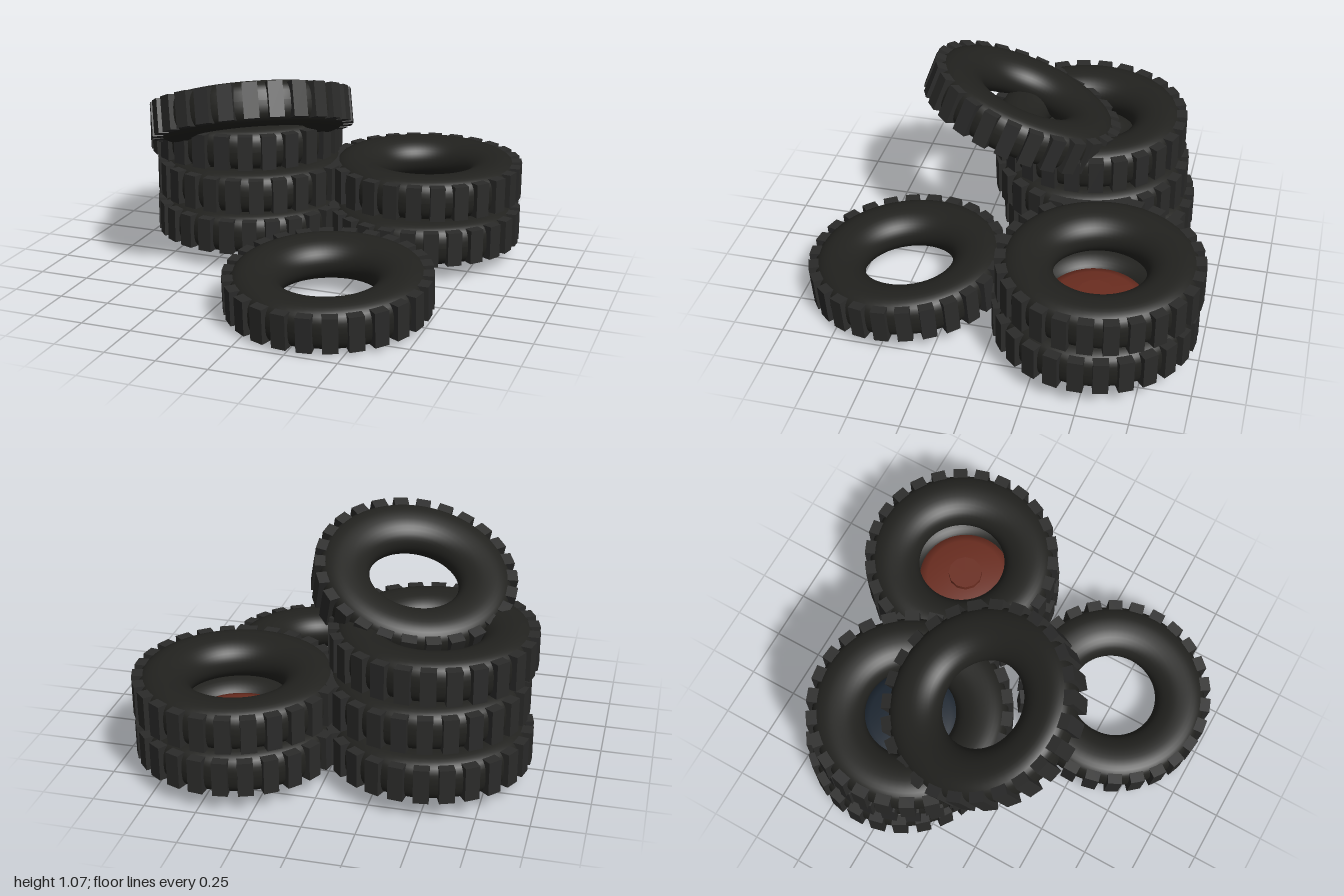
import * as THREE from 'three';

const BLOCKS = 26;
const rubber = new THREE.MeshStandardMaterial({ color: 0x22221f });
const treadRubber = new THREE.MeshStandardMaterial({ color: 0x2b2b2a });
const rust = new THREE.MeshStandardMaterial({ color: 0x6b2d20 });
const blueSteel = new THREE.MeshStandardMaterial({ color: 0x1b2530 });

// Tyre cross-section: upper half from the tread to the inner rim, mirrored below
function makeCarcassGeometry() {
  const upper = [[0.465, 0.055], [0.443, 0.085], [0.4, 0.103], [0.35, 0.105],
    [0.295, 0.095], [0.25, 0.068], [0.227, 0.035]];
  const lower = upper.map(([r, y]) => [r, -y]).reverse();
  const ring = [[0.472, 0], ...upper, [0.22, 0], ...lower];
  const curve = new THREE.CatmullRomCurve3(ring.map(([r, y]) => new THREE.Vector3(r, y, 0)), true);
  const profile = curve.getPoints(40).map((p) => new THREE.Vector2(p.x, p.y));
  return new THREE.LatheGeometry(profile, 64);
}

const carcassGeometry = makeCarcassGeometry();
const blockGeometry = new THREE.BoxGeometry(0.09, 0.17, 0.072);

function makeTyre(name, x, y, z, yaw = 0) {
  const tyre = new THREE.Group();
  tyre.name = name;
  tyre.position.set(x, y, z);

  const carcass = new THREE.Mesh(carcassGeometry, rubber);
  carcass.name = 'tyreBody';
  tyre.add(carcass);

  // Raised tread blocks around the rim
  const tread = new THREE.Group();
  tread.name = 'tread';
  for (let i = 0; i < BLOCKS; i++) {
    const a = yaw + (i / BLOCKS) * Math.PI * 2;
    const block = new THREE.Mesh(blockGeometry, treadRubber);
    block.name = 'treadBlock';
    block.position.set(Math.cos(a) * 0.449, 0, -Math.sin(a) * 0.449);
    block.rotation.y = a;
    tread.add(block);
  }
  tyre.add(tread);
  return tyre;
}

// Domed wheel disc with a knob through the middle
function addHub(tyre, material, knobHalf) {
  const hub = new THREE.Group();
  hub.name = 'hub';
  const profile = [[0, -0.085], [0.1, -0.081], [0.2, -0.069], [0.27, -0.05],
    [0.27, 0.05], [0.2, 0.069], [0.1, 0.081], [0, 0.085]];
  const disc = new THREE.Mesh(
    new THREE.LatheGeometry(profile.map(([r, y]) => new THREE.Vector2(r, y)), 48), material);
  disc.name = 'hubDisc';
  const knob = new THREE.Mesh(
    new THREE.CylinderGeometry(0.087, 0.087, knobHalf * 2, 12), material);
  knob.name = 'hubKnob';
  hub.add(disc, knob);
  tyre.add(hub);
}

export function createModel() {
  const pile = new THREE.Group();
  pile.name = 'tyrePile';

  // Left stack of three
  const leftMiddle = makeTyre('leftStackMiddle', -0.425, 0.405, -0.29, 0.06);
  addHub(leftMiddle, blueSteel, 0.1);
  pile.add(makeTyre('leftStackBottom', -0.45, 0.175, -0.33), leftMiddle,
    makeTyre('leftStackTop', -0.45, 0.635, -0.265, 0.02));

  // Right stack of two
  const rightBottom = makeTyre('rightStackBottom', 0.447, 0.175, -0.485);
  addHub(rightBottom, rust, 0.11);
  pile.add(rightBottom, makeTyre('rightStackTop', 0.445, 0.405, -0.5, 0.05));

  // Loose tyre in front, its back edge slightly raised
  const front = makeTyre('frontTyre', 0.275, 0.135, 0.495);
  front.rotation.x = 0.075;
  pile.add(front);

  // Tilted tyre leaning on top of the left stack
  const leaning = makeTyre('leaningTyre', -0.29, 0.798, 0.045, 0.04);
  leaning.quaternion.setFromUnitVectors(
    new THREE.Vector3(0, 1, 0), new THREE.Vector3(-0.21, 0.92, -0.33).normalize());
  pile.add(leaning);

  return pile;
}
